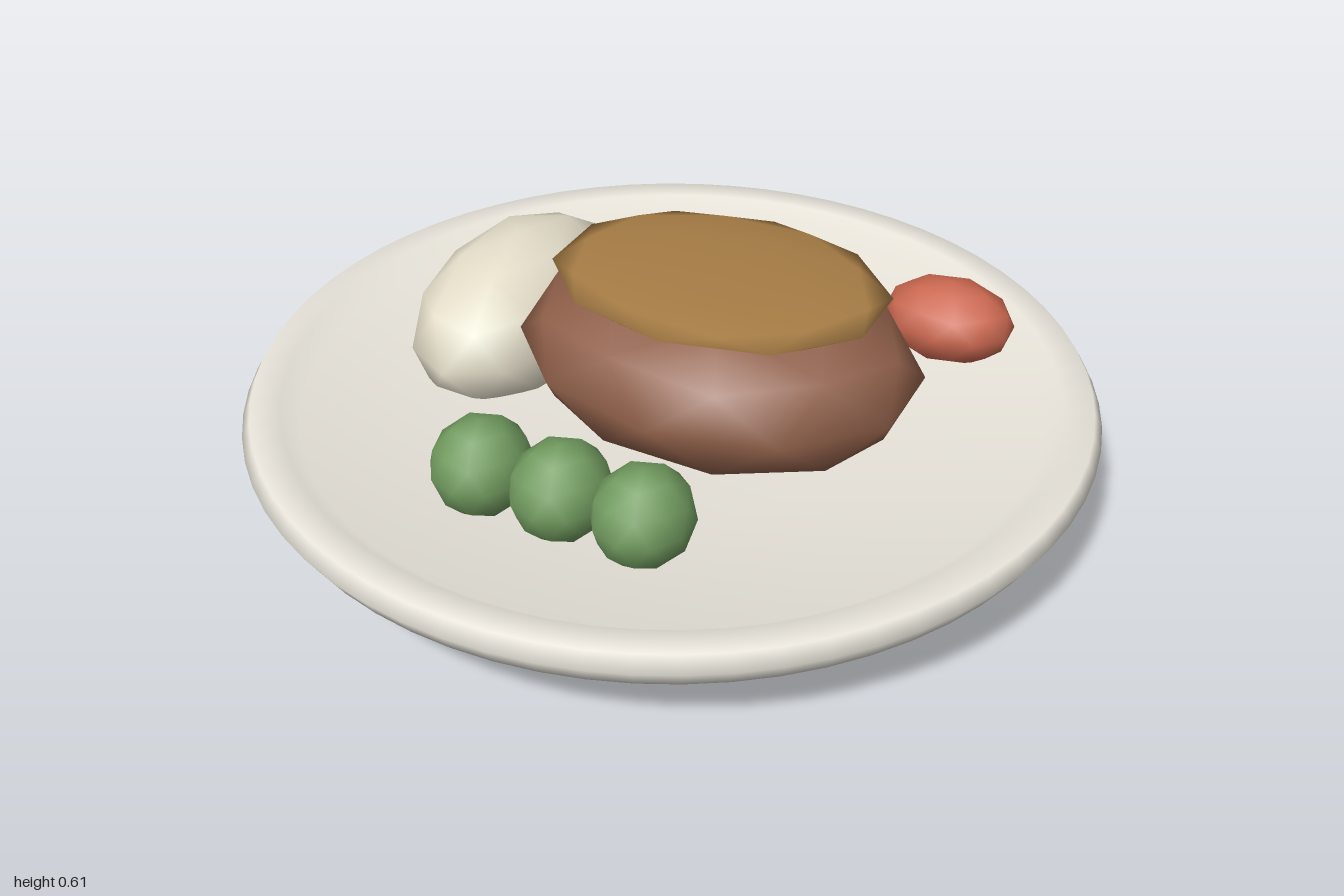
import * as THREE from 'three';

const material = (color) => new THREE.MeshStandardMaterial({ color });

// Low-poly ball with a corner pointing straight up and a ten-sided equator
function makeBall() {
  const ball = new THREE.IcosahedronGeometry(1, 1);
  ball.rotateX(-Math.atan((1 + Math.sqrt(5)) / 2));
  ball.rotateY(Math.PI / 2);
  return ball;
}

export function createModel() {
  const group = new THREE.Group();
  const ball = makeBall();

  const addFood = (name, color, position, radii) => {
    const mesh = new THREE.Mesh(ball, color);
    mesh.name = name;
    mesh.position.set(...position);
    mesh.scale.set(...radii);
    group.add(mesh);
  };

  // Plate: foot, flared underside, rolled rim and shallow dish
  const profile = [
    [0, 0], [0.44, 0], [0.49, 0.05], [0.97, 0.2], [1, 0.25], [0.98, 0.285],
    [0.91, 0.285], [0.87, 0.25], [0.42, 0.18], [0, 0.17],
  ].map(([r, y]) => new THREE.Vector2(r, y));
  const plate = new THREE.Mesh(new THREE.LatheGeometry(profile, 64), material(0xe8e4da));
  plate.name = 'plate';
  group.add(plate);

  // Meat with its flat golden topping
  addFood('meat', material(0x8f5f49), [0.12, 0.38, 0], [0.487, 0.22, 0.365]);
  addFood('topping', material(0xa67c45), [0.12, 0.575, 0], [0.4, 0.034, 0.3]);

  // Side dishes
  addFood('potato', material(0xe6dfcb), [-0.49, 0.275, -0.125], [0.22, 0.205, 0.365]);
  addFood('carrot', material(0xcb6850), [0.51, 0.31, -0.49], [0.165, 0.105, 0.118]);

  // Row of greens along the front
  const green = material(0x729c60);
  for (let i = -1; i <= 1; i++) {
    addFood('sprout', green, [0.022 + i * 0.196, 0.325, 0.56], [0.113, 0.115, 0.12]);
  }

  return group;
}
